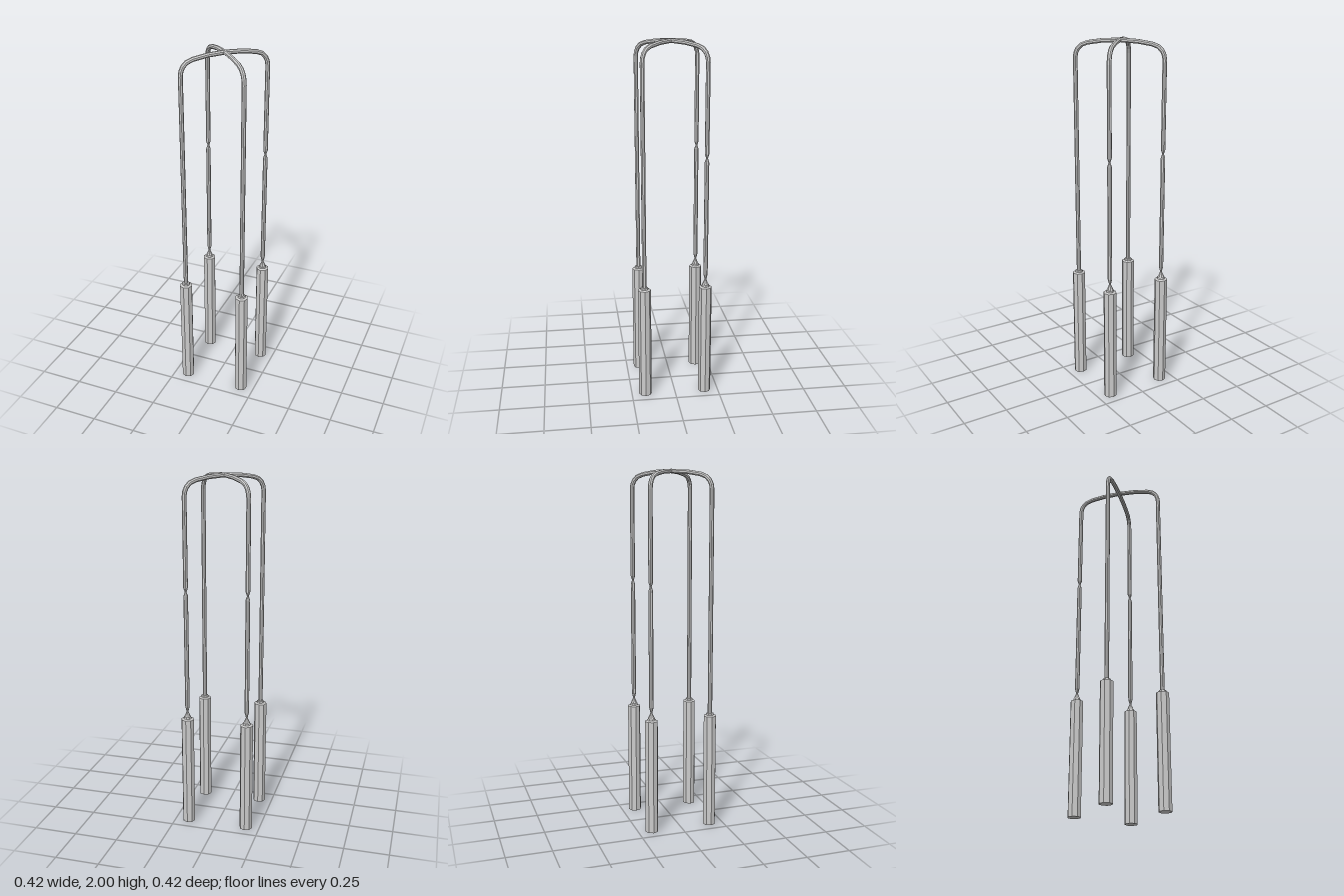
import * as THREE from 'three';

const SIDES = 8;
const ROD = 0.0125;
const LEG = 0.172;
const REACH = LEG * Math.SQRT2;

function material() {
  return new THREE.MeshStandardMaterial({ color: 0xcccccc, flatShading: true });
}

// Sweep an octagonal ring along points [s, y, radius] lying in one upright plane
function sweepRod(points) {
  const pos = [], index = [];
  const direction = (a, b) => new THREE.Vector2(b[0] - a[0], b[1] - a[1]).normalize();
  points.forEach((p, i) => {
    const before = direction(points[Math.max(i - 1, 0)], points[Math.max(i, 1)]);
    const after = direction(points[Math.min(i, points.length - 2)], points[Math.min(i + 1, points.length - 1)]);
    const t = before.clone().add(after).normalize();
    const mitre = 1 / Math.max(0.7, t.dot(before));
    for (let k = 0; k < SIDES; k++) {
      const a = ((k + 0.5) / SIDES) * Math.PI * 2;
      const u = Math.cos(a) * p[2] * mitre;
      pos.push(p[0] - t.y * u, p[1] + t.x * u, Math.sin(a) * p[2]);
    }
  });
  for (let i = 0; i < points.length - 1; i++) {
    for (let k = 0; k < SIDES; k++) {
      const a = i * SIDES + k, b = i * SIDES + ((k + 1) % SIDES);
      index.push(a, a + SIDES, b, b, a + SIDES, b + SIDES);
    }
  }
  const g = new THREE.BufferGeometry();
  g.setAttribute('position', new THREE.Float32BufferAttribute(pos, 3));
  g.setIndex(index);
  g.computeVertexNormals();
  return g;
}

// Arched rod: plain front leg, rounded top, pinched back leg
function archRod() {
  const bend = [
    [1, 1.89], [0.985, 1.915], [0.94, 1.938], [0.86, 1.957],
    [0.72, 1.97], [0.4, 1.982], [0, 1.987],
  ].map(([s, y]) => [s * REACH, y, ROD]);
  const otherBend = bend.slice(0, -1).reverse().map(([s, y, r]) => [-s, y, r]);
  const pinchedLeg = [
    [1.405, ROD], [1.382, 0.005], [1.36, ROD], [0.72, ROD], [0.69, 0.005], [0.655, 0.02],
  ].map(([y, r]) => [-REACH, y, r]);
  return sweepRod([[REACH, 0.65, ROD], ...bend, ...otherBend, ...pinchedLeg]);
}

// Octagonal weight with a small stepped collar
function weightGeometry() {
  const profile = [
    [0, 0], [0.0365, 0], [0.0365, 0.643], [0.023, 0.648], [0.021, 0.657], [0, 0.658],
  ].map(([r, y]) => new THREE.Vector2(r, y));
  return new THREE.LatheGeometry(profile, SIDES);
}

export function createModel() {
  const group = new THREE.Group();
  const mat = material();
  const rodMat = material();
  rodMat.side = THREE.DoubleSide;

  const rodGeometry = archRod();
  const weight = weightGeometry();
  for (const side of [1, -1]) {
    // Local +s runs towards the front corner on this side
    const rod = new THREE.Mesh(rodGeometry, rodMat);
    rod.name = side > 0 ? 'leftFrontArch' : 'rightFrontArch';
    rod.rotation.y = side > 0 ? -Math.PI / 4 : (-3 * Math.PI) / 4;
    group.add(rod);

    for (const end of [1, -1]) {
      const mesh = new THREE.Mesh(weight, mat);
      mesh.name = (side > 0 ? 'left' : 'right') + (end > 0 ? 'Front' : 'Back') + 'Weight';
      mesh.position.set(side * LEG, 0, end * LEG);
      group.add(mesh);
    }
  }
  return group;
}
